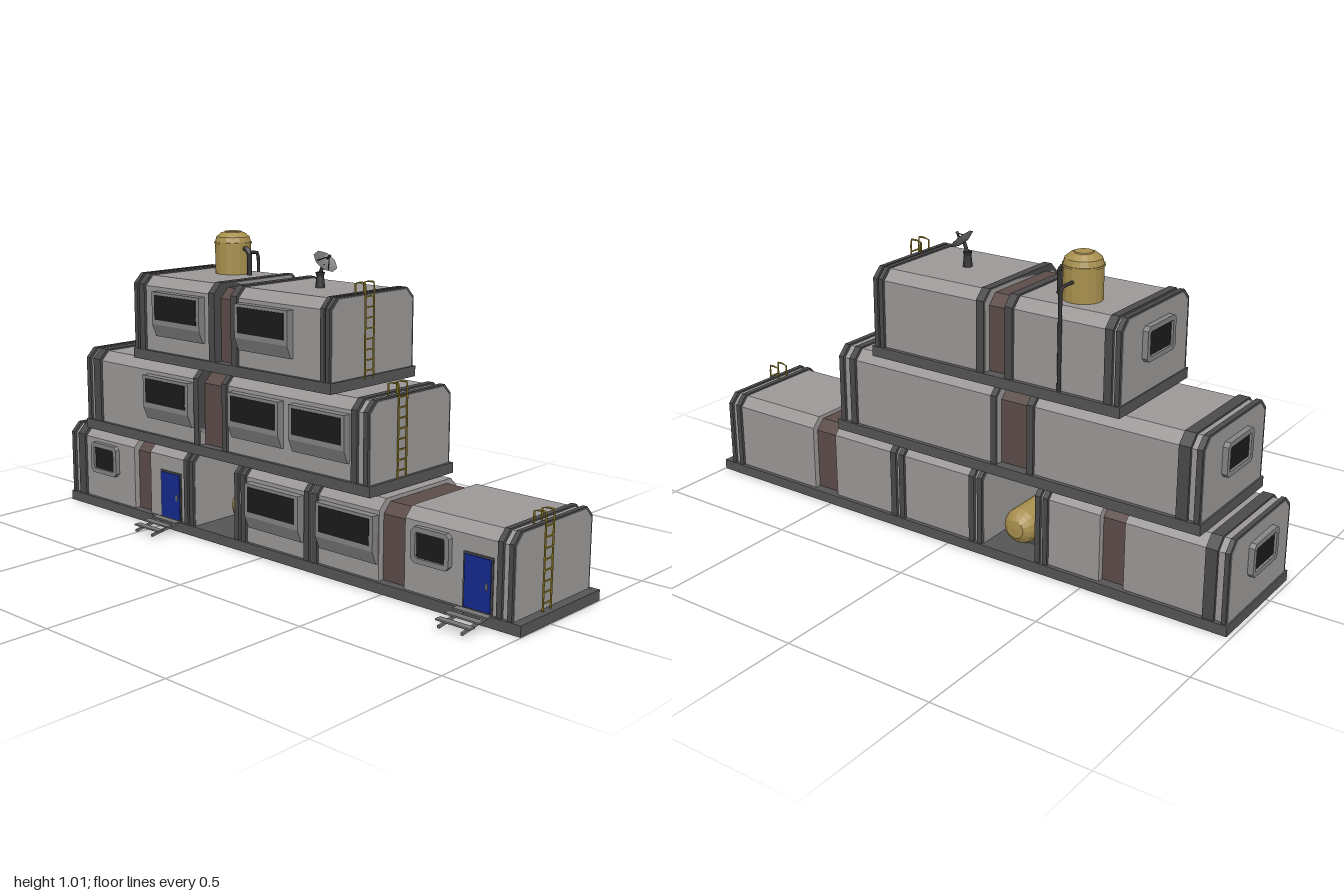
import * as THREE from 'three';

const mat = (color, extra = {}) => new THREE.MeshStandardMaterial({ color, flatShading: true, ...extra });
const M = {
  wall: mat(0x9c9898), rib: mat(0x4a4a4a), base: mat(0x555555), under: mat(0x222222),
  corridor: mat(0x5c4c49), frame: mat(0x858585), glass: mat(0x1b1b1b), door: mat(0x142a8c),
  tank: mat(0xa8904e), pipe: mat(0x333333, { flatShading: false }), ladder: mat(0xa8922a),
  dish: mat(0x777777, { side: THREE.DoubleSide }), step: mat(0x777777),
};

function add(parent, name, geo, material, x = 0, y = 0, z = 0) {
  const m = new THREE.Mesh(geo, material);
  m.name = name;
  m.position.set(x, y, z);
  parent.add(m);
  return m;
}

// Box given by its limits on each axis
function box(parent, name, material, x0, x1, y0, y1, z0, z1) {
  return add(parent, name, new THREE.BoxGeometry(x1 - x0, y1 - y0, z1 - z0), material,
    (x0 + x1) / 2, (y0 + y1) / 2, (z0 + z1) / 2);
}

// Profile of [z, y] points extruded along x
function prism(parent, name, material, pts, x0, x1) {
  const shape = new THREE.Shape(pts.map(([z, y]) => new THREE.Vector2(-z, y)));
  const geo = new THREE.ExtrudeGeometry(shape, { depth: x1 - x0, bevelEnabled: false });
  geo.rotateY(Math.PI / 2);
  return add(parent, name, geo, material, x0);
}

// Chamfered hull section, shrunk by an inset
const hull = (i) => {
  const f = 0.142 - i, b = -0.255 + i, t = 0.29 - i * 0.6, c = 0.032;
  return [[f, 0.03], [f, t - c], [f - c, t], [b + c, t], [b, t - c], [b, 0.03]];
};

function rod(parent, name, material, pts, r) {
  const path = new THREE.CurvePath();
  const v = pts.map((p) => new THREE.Vector3(...p));
  for (let i = 1; i < v.length; i++) path.add(new THREE.LineCurve3(v[i - 1], v[i]));
  return add(parent, name, new THREE.TubeGeometry(path, (v.length - 1) * 6, r, 6), material);
}

// Slanted bay window on the front wall
function bayWindow(parent, x0, x1) {
  const g = new THREE.Group();
  g.name = 'bayWindow';
  prism(g, 'bayFrame', M.frame, [[0.125, 0.24], [0.16, 0.24], [0.16, 0.13], [0.143, 0.088], [0.125, 0.088]], x0, x1);
  box(g, 'bayGlass', M.glass, x0 + 0.014, x1 - 0.014, 0.147, 0.23, 0.15, 0.162);
  parent.add(g);
}

// Flat framed window, built facing +z at the origin
function flatWindow(parent, w, h, depth) {
  const g = new THREE.Group();
  g.name = 'window';
  const rect = (P, a, b, c) => new P([[-a, c - b], [c - a, -b], [a - c, -b], [a, c - b],
    [a, b - c], [a - c, b], [c - a, b], [-a, b - c]].map((p) => new THREE.Vector2(...p)));
  const s = rect(THREE.Shape, w / 2, h / 2, 0.012);
  s.holes.push(rect(THREE.Path, w / 2 - 0.016, h / 2 - 0.016, 0.004));
  add(g, 'windowFrame', new THREE.ExtrudeGeometry(s, { depth, bevelEnabled: false }), M.frame);
  box(g, 'windowGlass', M.glass, 0.012 - w / 2, w / 2 - 0.012, 0.012 - h / 2, h / 2 - 0.012, 0, depth * 0.6);
  parent.add(g);
  return g;
}

// Ladder on the right end wall with hooped top rails
function ladder(parent, x, xRoof) {
  const g = new THREE.Group();
  g.name = 'ladder';
  for (const z of [0.012, -0.028]) {
    rod(g, 'ladderRail', M.ladder, [[x, 0.03, z], [x, 0.327, z], [xRoof, 0.327, z], [xRoof, 0.28, z]], 0.003);
  }
  for (let i = 0; i < 8; i++) {
    box(g, 'rung', M.ladder, x - 0.002, x + 0.002, 0.056 + i * 0.0325, 0.06 + i * 0.0325, -0.028, 0.012);
  }
  parent.add(g);
}

function entrySteps(parent, x) {
  const g = new THREE.Group();
  g.name = 'entrySteps';
  for (const s of [-1, 1]) {
    prism(g, 'stringer', M.step, [[0.14, 0.026], [0.26, 0.008], [0.26, 0.016], [0.14, 0.037]],
      x + s * 0.04 - 0.004, x + s * 0.04 + 0.004);
  }
  [[0.16, 0.035], [0.197, 0.03], [0.238, 0.024]].forEach(([z, y]) =>
    box(g, 'tread', M.step, x - 0.06, x + 0.06, y, y + 0.005, z - 0.012, z + 0.012));
  parent.add(g);
}

// Each storey: base span, wall modules, ribs, corridors, windows and ladder
const storeys = [
  { y: 0, base: [-0.987, 0.998],
    modules: [[-0.982, -0.64], [-0.555, -0.328], [-0.132, 0.478], [0.577, 0.967]],
    ribs: [[-0.98, -0.965], [-0.942, -0.905], [-0.375, -0.358], [-0.348, -0.33], [-0.13, -0.112], [-0.1, -0.08],
      [0.18, 0.2], [0.213, 0.235], [0.912, 0.93], [0.95, 0.965]],
    corridors: [[-0.645, -0.55], [0.475, 0.58]],
    bays: [[-0.065, 0.17], [0.245, 0.475]], flats: [-0.793, 0.68], doors: [-0.448, 0.843], ladder: [0.98, 0.94] },
  { y: 0.288, base: [-0.887, 0.45],
    modules: [[-0.882, -0.297], [-0.185, 0.44]],
    ribs: [[-0.88, -0.862], [-0.842, -0.805], [-0.32, -0.297], [-0.185, -0.165], [0.372, 0.395], [0.42, 0.438]],
    corridors: [[-0.3, -0.18]],
    bays: [[-0.555, -0.33], [-0.14, 0.085], [0.13, 0.36]], flats: [], doors: [], ladder: [0.447, 0.406] },
  { y: 0.578, base: [-0.616, 0.291],
    modules: [[-0.612, -0.215], [-0.14, 0.285]],
    ribs: [[-0.61, -0.594], [-0.584, -0.558], [-0.243, -0.215], [-0.14, -0.112], [0.246, 0.262], [0.268, 0.283]],
    corridors: [[-0.22, -0.135]],
    bays: [[-0.5, -0.27], [-0.105, 0.125]], flats: [], doors: [], ladder: [0.312, 0.271] },
];

function buildStorey(s, i) {
  const g = new THREE.Group();
  g.name = ['groundStorey', 'middleStorey', 'topStorey'][i];
  g.position.y = s.y;
  const [b0, b1] = s.base;

  // base: an edge beam around a recessed floor
  for (const [z0, z1] of [[-0.26, -0.245], [0.13, 0.145]]) box(g, 'baseBeam', M.base, b0, b1, 0, 0.034, z0, z1);
  for (const [x0, x1] of [[b0, b0 + 0.015], [b1 - 0.015, b1]]) box(g, 'baseBeam', M.base, x0, x1, 0, 0.034, -0.245, 0.13);
  box(g, 'floorTop', M.base, b0 + 0.01, b1 - 0.01, 0.022, 0.0335, -0.25, 0.135);
  box(g, 'floorUnderside', i ? M.base : M.under, b0 + 0.01, b1 - 0.01, 0.012, 0.022, -0.25, 0.135);

  s.modules.forEach(([a, b]) => prism(g, 'wallModule', M.wall, hull(0.009), a, b));
  s.ribs.forEach(([a, b]) => prism(g, 'rib', M.rib, hull(0), a, b));
  s.corridors.forEach(([a, b]) => prism(g, 'corridor', M.corridor, hull(0.03), a, b));
  s.bays.forEach(([a, b]) => bayWindow(g, a, b));
  s.flats.forEach((x) => flatWindow(g, 0.138, 0.11, 0.02).position.set(x, 0.185, 0.13));
  s.doors.forEach((x) => {
    box(g, 'doorFrame', M.rib, x - 0.052, x + 0.052, 0.034, 0.202, 0.125, 0.136);
    box(g, 'door', M.door, x - 0.046, x + 0.046, 0.038, 0.196, 0.13, 0.139);
    box(g, 'doorHandle', M.frame, x + 0.03, x + 0.036, 0.105, 0.125, 0.138, 0.142);
    entrySteps(g, x);
  });

  // window on the left-hand end wall
  const end = flatWindow(g, 0.165, 0.108, 0.018);
  end.rotation.y = -Math.PI / 2;
  end.position.set(s.modules[0][0], 0.186, -0.053);
  ladder(g, ...s.ladder);
  return g;
}

export function createModel() {
  const root = new THREE.Group();
  root.name = 'modularOutpost';
  storeys.forEach((s, i) => root.add(buildStorey(s, i)));

  // roof tank with domed cap and rim band
  const V = (x, y) => new THREE.Vector2(x, y);
  add(root, 'roofTank', new THREE.LatheGeometry([V(0.061, 0), V(0.061, 0.108), V(0.056, 0.125), V(0.04, 0.138),
    V(0.03, 0.14), V(0.028, 0.143), V(0, 0.143)], 16), M.tank, -0.405, 0.863, -0.128);
  add(root, 'roofTankBand', new THREE.CylinderGeometry(0.064, 0.064, 0.006, 16), M.tank, -0.405, 0.967, -0.128);
  rod(root, 'roofTankSidePipe', M.pipe, [[-0.36, 0.95, -0.125], [-0.335, 0.95, -0.125], [-0.323, 0.936, -0.125],
    [-0.323, 0.86, -0.125]], 0.009);
  rod(root, 'roofTankDrainPipe', M.pipe, [[-0.405, 0.926, -0.18], [-0.405, 0.926, -0.24], [-0.405, 0.918, -0.25],
    [-0.405, 0.61, -0.25]], 0.006);

  // horizontal tank in the ground floor passage
  const ends = [V(0, -0.12), V(0.03, -0.118), V(0.05, -0.103), V(0.058, -0.085)];
  const floorTank = add(root, 'floorTank', new THREE.LatheGeometry(
    [...ends, ...ends.map((p) => V(p.x, -p.y)).reverse()], 16), M.tank, -0.225, 0.093, -0.09);
  floorTank.rotation.x = Math.PI / 2;
  for (const z of [-0.15, -0.03]) box(root, 'tankCradle', M.base, -0.27, -0.18, 0.033, 0.06, z - 0.01, z + 0.01);
  rod(root, 'floorTankPipe', M.pipe, [[-0.305, 0.3, -0.09], [-0.305, 0.125, -0.09], [-0.298, 0.108, -0.09],
    [-0.27, 0.1, -0.09]], 0.007);

  // satellite dish on a short mast
  add(root, 'dishFoot', new THREE.CylinderGeometry(0.012, 0.016, 0.04, 8), M.pipe, 0.065, 0.88, -0.055);
  add(root, 'dishMast', new THREE.CylinderGeometry(0.015, 0.012, 0.012, 8), M.pipe, 0.065, 0.905, -0.055);
  const dish = new THREE.Group();
  dish.name = 'dish';
  add(dish, 'dishBowl', new THREE.LatheGeometry([V(0, 0), V(0.022, 0.003), V(0.044, 0.013)], 8), M.dish);
  for (let i = 0; i < 3; i++) {
    const a = (i * Math.PI * 2) / 3;
    rod(dish, 'feedArm', M.pipe, [[0.026 * Math.cos(a), 0.005, 0.026 * Math.sin(a)], [0, 0.036, 0]], 0.0018);
  }
  add(dish, 'feedHorn', new THREE.CylinderGeometry(0.005, 0.004, 0.01, 6), M.pipe, 0, 0.036, 0);
  dish.position.set(0.078, 0.938, -0.055);
  dish.rotation.z = -Math.PI / 4;
  root.add(dish);
  rod(root, 'dishBracket', M.pipe, [[0.065, 0.905, -0.055], [0.078, 0.938, -0.055]], 0.006);

  return root;
}
